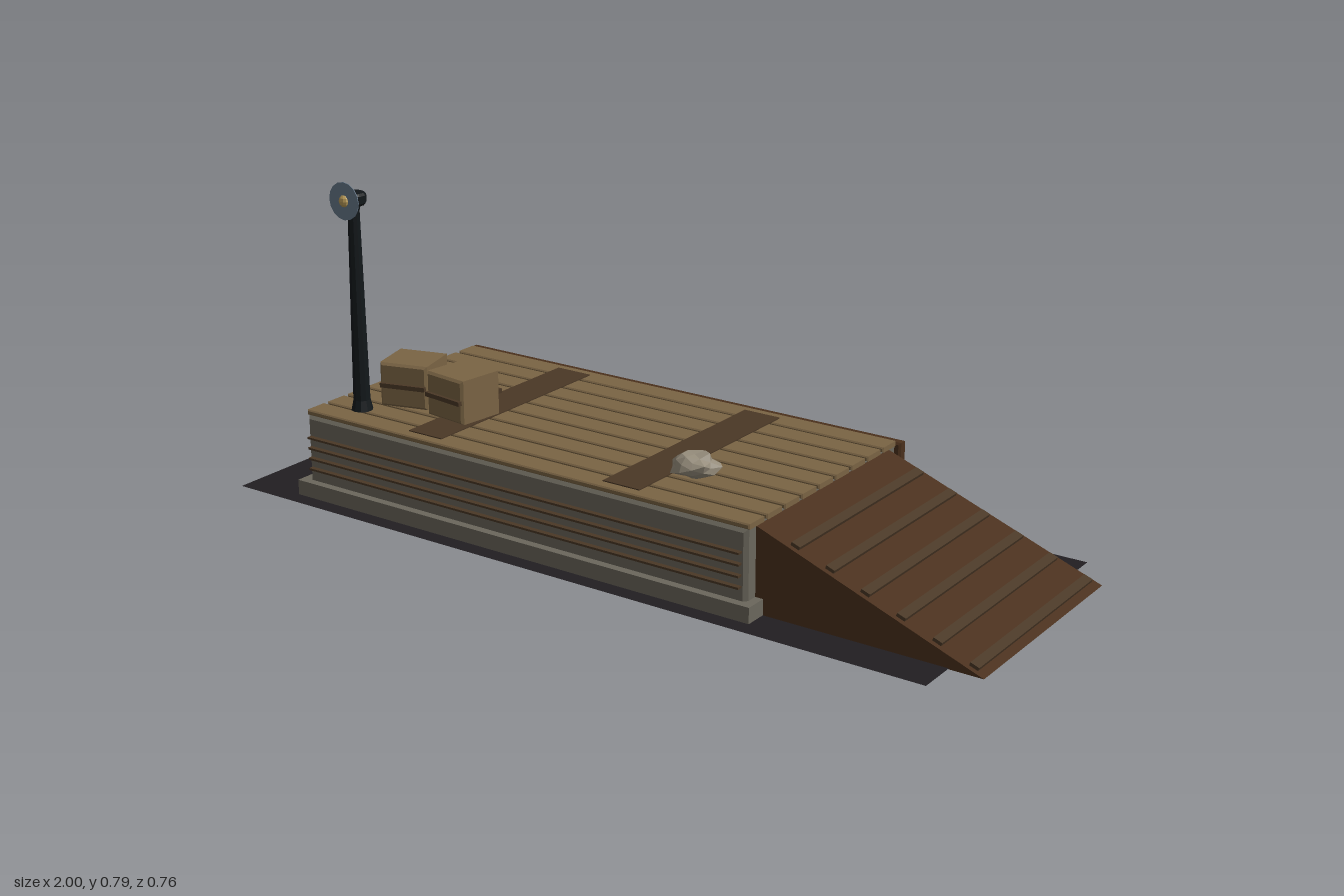
import * as THREE from 'three';

const mat = (color, side = THREE.FrontSide) =>
  new THREE.MeshStandardMaterial({ color, flatShading: true, side });

const wood = mat(0x7a6444), darkWood = mat(0x4a3826), rampWood = mat(0x4a301c);
const stone = mat(0x6b675c), iron = mat(0x12171a), ground = mat(0x211e21, THREE.DoubleSide);
const rock = mat(0x968d7c), glass = mat(0x66788a), brass = mat(0xb89a58);

function add(parent, name, geometry, material, x = 0, y = 0, z = 0) {
  const mesh = new THREE.Mesh(geometry, material);
  mesh.name = name;
  mesh.position.set(x, y, z);
  parent.add(mesh);
  return mesh;
}

// Box with one chamfer on every edge, centred on the origin
function chamferBox(w, h, d, c) {
  const x = w / 2 - c, y = h / 2 - c;
  const s = new THREE.Shape([[-x, -y], [x, -y], [x, y], [-x, y]].map(p => new THREE.Vector2(...p)));
  const g = new THREE.ExtrudeGeometry(s, {
    depth: d - 2 * c, bevelEnabled: true, bevelSize: c, bevelThickness: c, bevelSegments: 1,
  });
  return g.translate(0, 0, -(d / 2 - c));
}

function makeCrate(x, z, angle) {
  const crate = new THREE.Group();
  crate.name = 'crate';
  crate.position.set(x, 0.22, z);
  crate.rotation.y = angle;
  add(crate, 'crateBody', chamferBox(0.125, 0.11, 0.125, 0.006), wood, 0, 0.055, 0);
  add(crate, 'crateStrap', new THREE.BoxGeometry(0.118, 0.011, 0.142), darkWood, 0, 0.055, 0);
  return crate;
}

function makeRamp() {
  const ramp = new THREE.Group();
  ramp.name = 'ramp';
  const x0 = 0.45, x1 = 1, top = 0.205, width = 0.57;
  const wedge = new THREE.Shape();
  wedge.moveTo(x0, 0);
  wedge.lineTo(x1, 0);
  wedge.lineTo(x0, top);
  wedge.closePath();
  add(ramp, 'rampWedge', new THREE.ExtrudeGeometry(wedge, { depth: width, bevelEnabled: false })
    .translate(0, 0, -width / 2), rampWood);
  // Cleats across the slope
  for (let i = 0; i < 6; i++) {
    const x = 0.54 + i * 0.086;
    const y = top * (x1 - x) / (x1 - x0) + 0.002;
    add(ramp, 'rampCleat', new THREE.BoxGeometry(0.022, 0.012, 0.545), darkWood, x, y, 0)
      .rotation.z = -Math.atan2(top, x1 - x0);
  }
  return ramp;
}

function makeLamp() {
  const lamp = new THREE.Group();
  lamp.name = 'signalLamp';
  lamp.position.set(-0.72, 0, 0.235);
  const profile = [[0, 0.218], [0.027, 0.218], [0.021, 0.245], [0.0145, 0.715], [0.019, 0.732], [0, 0.732]];
  add(lamp, 'lampPost', new THREE.LatheGeometry(profile.map(p => new THREE.Vector2(...p)), 10), iron);
  const head = [[0, 0.73], [0.027, 0.73], [0.032, 0.736], [0.032, 0.754], [0.027, 0.76], [0, 0.76]];
  add(lamp, 'lampHead', new THREE.LatheGeometry(head.map(p => new THREE.Vector2(...p)), 10), iron);
  add(lamp, 'lampDisc', new THREE.CylinderGeometry(0.046, 0.046, 0.002, 16).rotateX(Math.PI / 2),
    glass, 0, 0.744, 0.031);
  add(lamp, 'lampLens', new THREE.SphereGeometry(0.015, 10, 6), brass, 0, 0.744, 0.03)
    .scale.z = 0.7;
  return lamp;
}

// Faceted boulder: each vertex moves in or out by a rule based on its direction
function makeRock() {
  const g = new THREE.IcosahedronGeometry(1, 1);
  const p = g.attributes.position, v = new THREE.Vector3();
  for (let i = 0; i < p.count; i++) {
    v.fromBufferAttribute(p, i);
    const k = 0.95 + 0.17 * Math.sin(v.x * 7.1 + v.y * 4.3 + v.z * 9.7);
    p.setXYZ(i, v.x * k, v.y * k, v.z * k);
  }
  return g.scale(0.059, 0.032, 0.042);
}

export function createModel() {
  const model = new THREE.Group();
  model.name = 'loadingPlatform';

  add(model, 'groundSheet', new THREE.PlaneGeometry(1.92, 0.764).rotateX(-Math.PI / 2),
    ground, -0.04, 0.002, 0);

  // Stone base
  const cx = -0.187;
  add(model, 'plinth', new THREE.BoxGeometry(1.315, 0.04, 0.682), stone, cx, 0.02, 0);
  add(model, 'stoneBody', chamferBox(1.275, 0.19, 0.642, 0.009), stone, cx, 0.112, 0);
  for (let i = 0; i < 4; i++)
    add(model, 'frontCourse', new THREE.BoxGeometry(1.25, 0.005, 0.014), darkWood,
      cx, 0.073 + i * 0.0268, 0.327);

  // Deck
  add(model, 'deckBed', new THREE.BoxGeometry(1.26, 0.006, 0.62), darkWood, cx, 0.206, 0);
  for (let i = 0; i < 9; i++)
    add(model, 'deckPlank', chamferBox(1.28, 0.013, 0.062, 0.003), wood,
      cx, 0.212, (i - 4) * 0.0713);
  for (const x of [-0.472, 0.098])
    add(model, 'deckStrip', new THREE.BoxGeometry(0.1, 0.003, 0.58), darkWood, x, 0.2195, 0);

  // Fender beam and its mooring rings along the back
  add(model, 'backFender', chamferBox(1.3, 0.048, 0.028, 0.005), rampWood, cx, 0.188, -0.332);
  for (let i = 0; i < 4; i++)
    add(model, 'mooringRing', new THREE.TorusGeometry(0.014, 0.003, 5, 10), iron,
      cx + (i - 1.5) * 0.32, 0.171, -0.344);

  model.add(makeRamp(), makeLamp());
  model.add(makeCrate(-0.655, 0.115, 0.27), makeCrate(-0.492, 0.123, -0.13));
  add(model, 'boulder', makeRock(), rock, 0.203, 0.249, 0.154).rotation.y = 0.4;
  return model;
}
